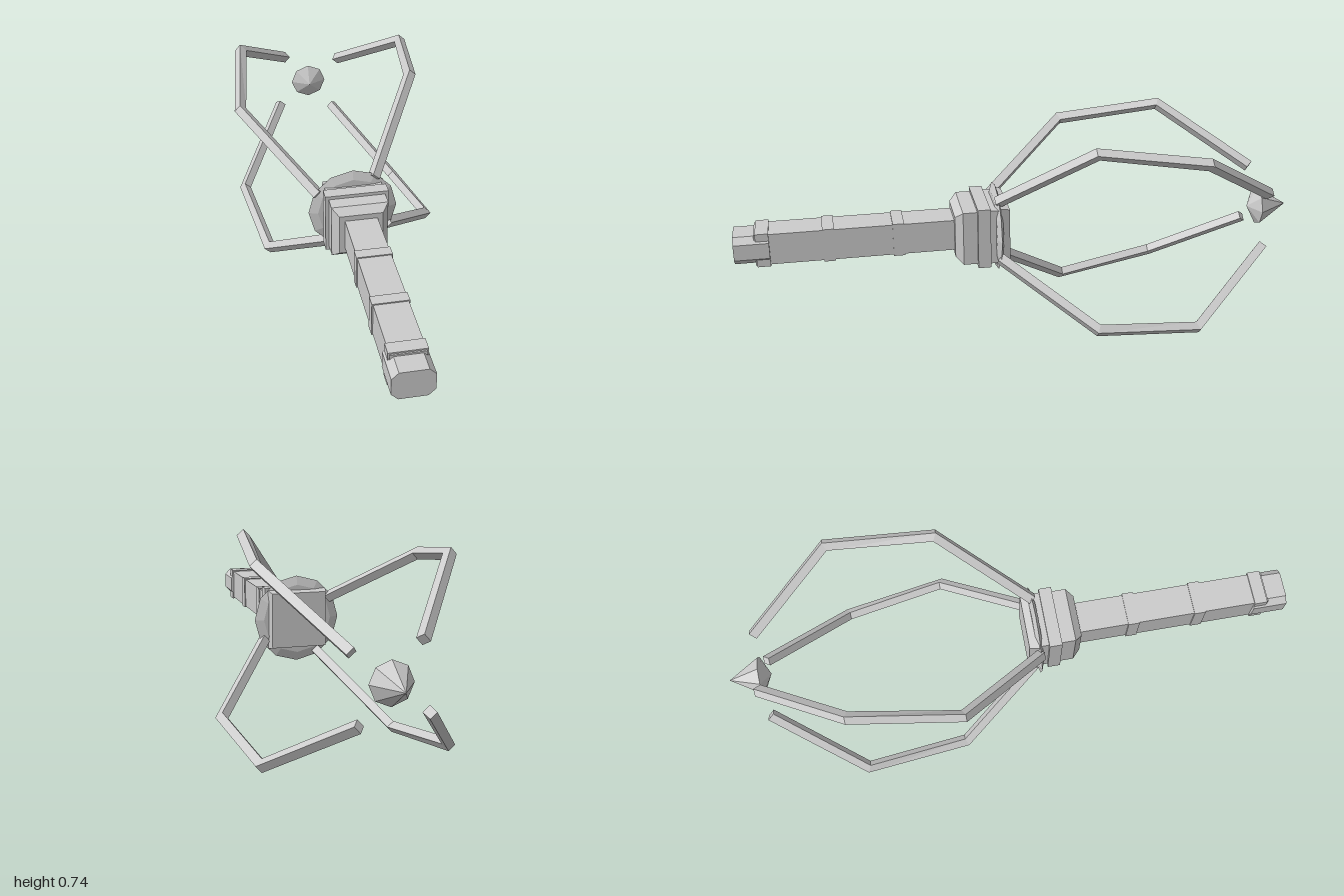
import * as THREE from 'three';

const AXIS_Y = 0.371;

export function createModel() {
  const model = new THREE.Group();
  const core = new THREE.Group();
  core.name = 'clawStaff';
  core.position.y = AXIS_Y;
  model.add(core);

  const steel = new THREE.MeshStandardMaterial({ color: 0xcccccc, flatShading: true });
  steel.name = 'paleSteel';

  const add = (name, geometry, parent = core) => {
    const mesh = new THREE.Mesh(geometry, steel);
    mesh.name = name;
    parent.add(mesh);
    return mesh;
  };

  // Square block along z; h0 is the half width at z0 (back), h1 at z1 (front)
  const block = (name, h0, h1, z0, z1) => {
    const g = new THREE.CylinderGeometry(h1 * Math.SQRT2, h0 * Math.SQRT2, z1 - z0, 4);
    g.rotateY(Math.PI / 4);
    g.rotateX(Math.PI / 2);
    g.translate(0, 0, (z0 + z1) / 2);
    return add(name, g);
  };

  // Round faceted piece along z with given [radius, z] profile, back to front
  const turned = (name, profile, sides) => {
    const g = new THREE.LatheGeometry(profile.map(([r, z]) => new THREE.Vector2(r, z)), sides);
    g.rotateX(Math.PI / 2);
    return add(name, g);
  };

  // Handle with slim bands
  block('handle', 0.056, 0.056, 0.23, 0.93);
  block('handleBand', 0.06, 0.06, 0.42, 0.46);
  block('handleBand', 0.06, 0.06, 0.66, 0.7);
  block('pommelBand', 0.061, 0.061, 0.88, 0.925);

  // Pommel with cut corners
  const w = 0.067, h = 0.05, c = 0.022;
  const outline = [[w, h - c], [w - c, h], [c - w, h], [-w, h - c], [-w, c - h], [c - w, -h], [w - c, -h], [w, c - h]];
  const pommel = new THREE.ExtrudeGeometry(
    new THREE.Shape(outline.map(([x, y]) => new THREE.Vector2(x, y))),
    { depth: 0.12, bevelEnabled: false });
  pommel.translate(0, 0, 0.88);
  add('pommel', pommel);

  // Stepped square collar
  block('collarBevel', 0.098, 0.075, 0.22, 0.246);
  block('collarFront', 0.098, 0.098, 0.17, 0.22);
  block('collarRing', 0.11, 0.11, 0.125, 0.17);
  block('collarNeck', 0.1, 0.1, 0.095, 0.125);

  // Faceted guard disc and the square plate behind it
  turned('guardDisc', [[0, 0.08], [0.125, 0.082], [0.157, 0.093], [0.125, 0.104], [0, 0.106]], 12);
  block('backPlate', 0.1, 0.108, 0.056, 0.09);

  // Claws: sections as sideways x, radial y, z, and the half-thickness direction
  const sections = [
    { x: -0.025, y: 0.14, z: 0.095, dy: 0.011, dz: 0.011 },
    { x: -0.031, y: 0.437, z: -0.208, dy: 0.015, dz: 0.006 },
    { x: 0.036, y: 0.437, z: -0.58, dy: 0.015, dz: -0.006 },
    { x: 0.027, y: 0.151, z: -0.885, dy: 0.011, dz: -0.011 },
  ];
  const claw = new THREE.BoxGeometry(0.03, 2, 3, 1, 1, 3);
  const p = claw.attributes.position;
  for (let i = 0; i < p.count; i++) {
    const s = sections[Math.round(1.5 - p.getZ(i))];
    const side = p.getY(i);
    p.setXYZ(i, s.x + p.getX(i), s.y + side * s.dy, s.z + side * s.dz);
  }
  claw.computeVertexNormals();
  for (let i = 0; i < 4; i++) {
    add('claw', claw).rotation.z = THREE.MathUtils.degToRad(-41.5 + 90 * i);
  }

  // Pointed gem floating between the claw tips
  turned('gem', [[0, -1], [0.07, -0.888], [0, -0.852]].reverse().map(([r, z]) => [r, z]).reverse(), 8);

  return model;
}
